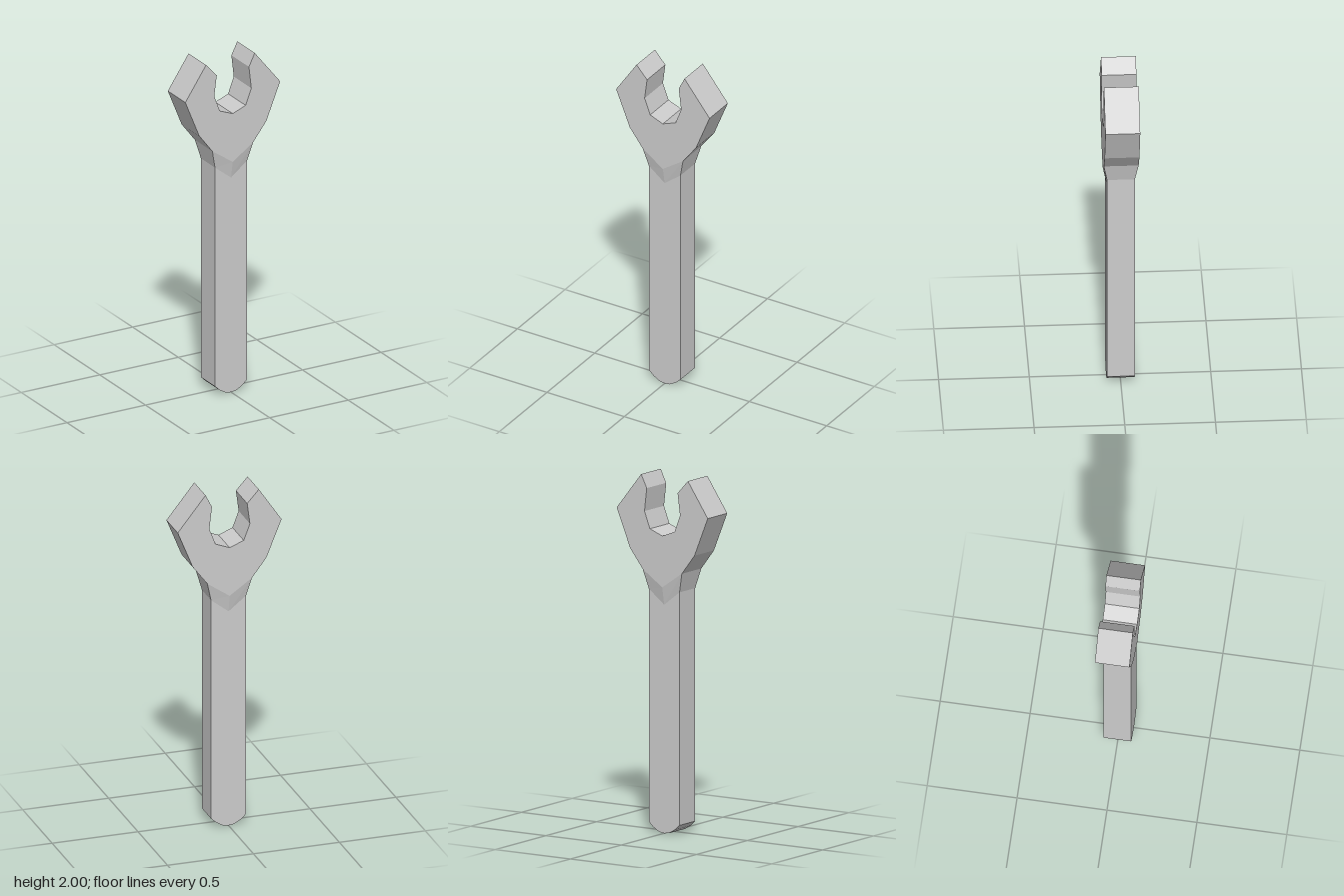
import * as THREE from 'three';

const HEAD_Z = 0.096, HANDLE_Z = 0.077;
const material = new THREE.MeshStandardMaterial({ color: 0xcccccc, flatShading: true });

function addMesh(group, name, geometry) {
  const mesh = new THREE.Mesh(geometry, material);
  mesh.name = name;
  group.add(mesh);
}

// Flat plate with the given outline, centred on z = 0
function plate(outline, halfDepth) {
  const shape = new THREE.Shape(outline.map(([x, y]) => new THREE.Vector2(x, y)));
  return new THREE.ExtrudeGeometry(shape, { depth: halfDepth * 2, bevelEnabled: false })
    .translate(0, 0, -halfDepth);
}

// Six-point ring: a V-shaped line on the front and again on the back
function chevronRing(line, z) {
  return [
    ...line.map(([x, y]) => [x, y, z]),
    ...[...line].reverse().map(([x, y]) => [x, y, -z]),
  ];
}

// Open band of quads between two rings
function band(lower, upper) {
  const positions = [];
  const n = lower.length;
  for (let i = 0; i < n; i++) {
    const j = (i + 1) % n;
    for (const p of [lower[i], lower[j], upper[j], lower[i], upper[j], upper[i]]) positions.push(...p);
  }
  const geometry = new THREE.BufferGeometry();
  geometry.setAttribute('position', new THREE.Float32BufferAttribute(positions, 3));
  geometry.computeVertexNormals();
  return geometry;
}

export function createModel() {
  const group = new THREE.Group();
  group.name = 'wrench';

  const headBase = [[-0.13, 1.47], [0, 1.38], [0.13, 1.47]];
  const handleTop = [[-0.102, 1.36], [0, 1.28], [0.102, 1.36]];

  // Open-ended head with slightly uneven jaw tips
  addMesh(group, 'head', plate([
    ...headBase,
    [0.214, 1.58], [0.302, 1.797], [0.14, 2], [0.103, 1.925],
    [0.118, 1.795], [0.082, 1.7], [0, 1.668], [-0.082, 1.7], [-0.118, 1.795],
    [-0.102, 1.918], [-0.17, 1.993], [-0.302, 1.797], [-0.214, 1.58],
  ], HEAD_Z));

  // Sloping neck from the thinner handle to the head
  addMesh(group, 'neck', band(chevronRing(handleTop, HANDLE_Z), chevronRing(headBase, HEAD_Z)));

  // Long handle with a faceted rounded end
  addMesh(group, 'handle', plate([
    ...[...handleTop].reverse(),
    [-0.102, 0.055], [-0.072, 0.027], [-0.032, 0.004], [0, 0],
    [0.032, 0.004], [0.072, 0.027], [0.102, 0.055],
  ], HANDLE_Z));

  return group;
}
